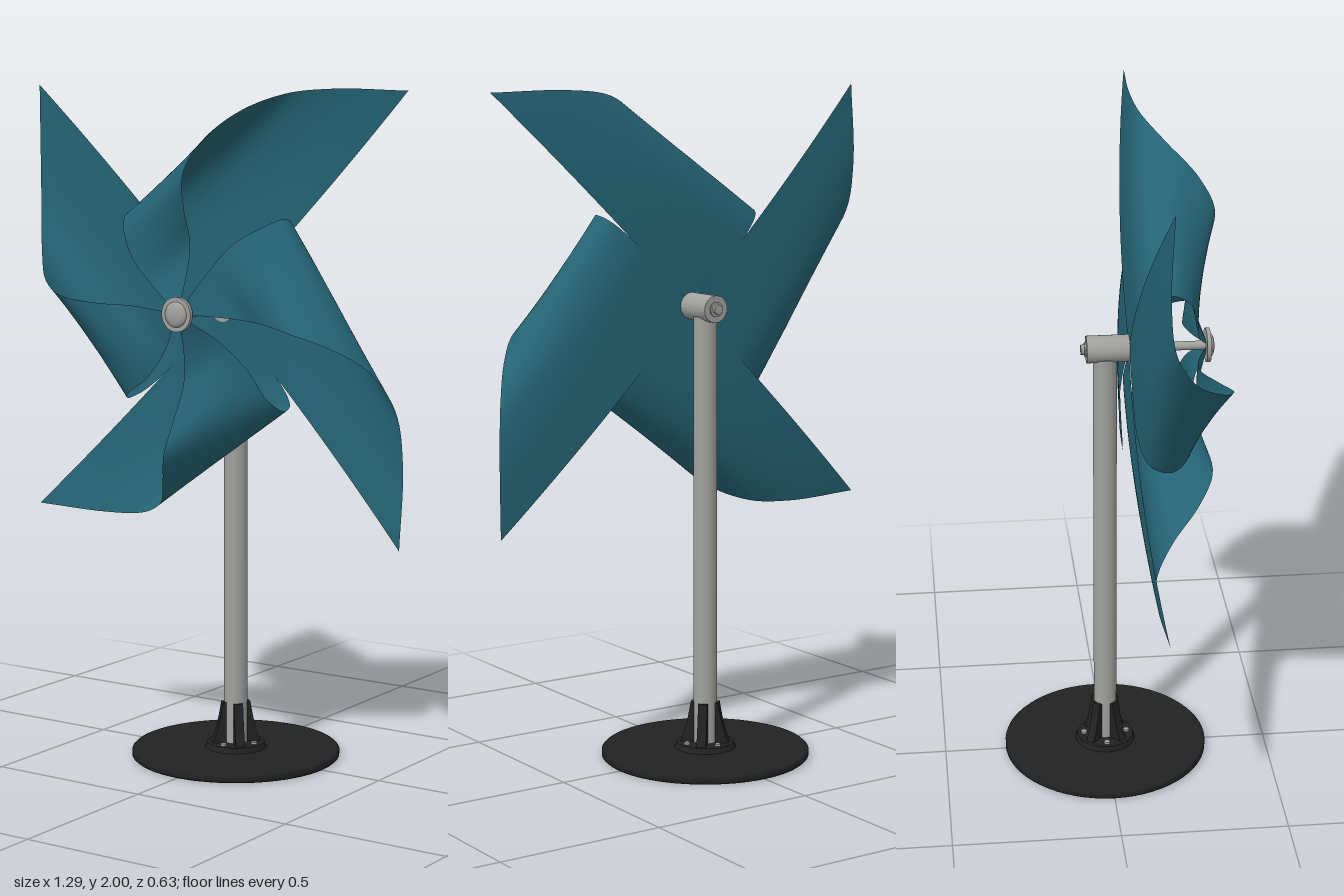
import * as THREE from 'three';

const HUB_Y = 1.355;

export function createModel() {
  const model = new THREE.Group();
  model.name = 'pinwheel';
  const teal = new THREE.MeshStandardMaterial({ color: 0x256475, side: THREE.DoubleSide });
  teal.name = 'teal sheet';
  const metal = new THREE.MeshStandardMaterial({ color: 0xa0a09e });
  metal.name = 'grey metal';
  const black = new THREE.MeshStandardMaterial({ color: 0x222222 });
  black.name = 'black base';

  const add = (parent, name, geometry, material, x = 0, y = 0, z = 0) => {
    const mesh = new THREE.Mesh(geometry, material);
    mesh.name = name;
    mesh.position.set(x, y, z);
    parent.add(mesh);
    return mesh;
  };
  const rod = (r, h, sides = 32) => new THREE.CylinderGeometry(r, r, h, sides);
  const rodZ = (r, h, sides) => rod(r, h, sides).rotateX(Math.PI / 2);

  // Base disc with a softened rim, and the flange on it
  const disc = [[0, 0], [0.306, 0], [0.312, 0.005], [0.312, 0.02], [0.306, 0.026], [0, 0.026]];
  const baseGeo = new THREE.LatheGeometry(disc.map(p => new THREE.Vector2(...p)), 64);
  add(model, 'baseDisc', baseGeo, black);
  add(model, 'flange', new THREE.CylinderGeometry(0.086, 0.092, 0.016, 48), black, 0, 0.034, 0);

  // Four gussets gripping the pole, with a screw between each pair
  const profile = new THREE.Shape();
  profile.moveTo(0.02, 0.04);
  profile.lineTo(0.075, 0.04);
  profile.quadraticCurveTo(0.057, 0.07, 0.042, 0.165);
  profile.lineTo(0.02, 0.165);
  const gussetGeo = new THREE.ExtrudeGeometry(profile, { depth: 0.028, bevelEnabled: false, curveSegments: 8 });
  gussetGeo.translate(0, 0, -0.014);
  for (let i = 0; i < 4; i++) {
    const a = i * Math.PI / 2;
    add(model, 'gusset', gussetGeo, black).rotation.y = a + Math.PI / 4;
    add(model, 'flangeScrew', rod(0.009, 0.008, 16), metal, 0.066 * Math.cos(a), 0.045, 0.066 * Math.sin(a));
  }

  // Pole and the cross tube at its top
  add(model, 'pole', rod(0.035, 1.3), metal, 0, 0.68, 0);
  add(model, 'crossTube', rodZ(0.04, 0.125), metal, 0, HUB_Y, 0.0075);
  add(model, 'rearWasher', rodZ(0.022, 0.006), metal, 0, HUB_Y, -0.057);
  add(model, 'rearNut', rodZ(0.016, 0.014, 6), metal, 0, HUB_Y, -0.064);

  // Rotor: axle, front washer and domed cap
  const rotor = new THREE.Group();
  rotor.name = 'rotor';
  rotor.position.y = HUB_Y;
  model.add(rotor);
  add(rotor, 'axle', rodZ(0.013, 0.24, 20), metal, 0, 0, 0.18);
  add(rotor, 'frontWasher', rodZ(0.05, 0.012), metal, 0, 0, 0.299);
  const cap = new THREE.SphereGeometry(0.037, 32, 10, 0, Math.PI * 2, 0, Math.PI / 2);
  cap.rotateX(Math.PI / 2).scale(1, 1, 0.4);
  add(rotor, 'frontCap', cap, metal, 0, 0, 0.304);

  // Four blades, each a triangle of sheet with one corner curled to the hub
  const bladeGeo = bladeGeometry();
  for (let i = 0; i < 4; i++) add(rotor, 'blade', bladeGeo, teal).rotation.z = i * Math.PI / 2;
  return model;
}

// Sheet ruled between the curled cut edge and the curled outer edge
function bladeGeometry() {
  const curve = pts => new THREE.CatmullRomCurve3(pts.map(p => new THREE.Vector3(...p)));
  const cut = curve([
    [0, 0, 0.07], [-0.1, 0.1, 0.07], [-0.2, 0.2, 0.075], [-0.257, 0.26, 0.105], [-0.273, 0.272, 0.165],
    [-0.25, 0.235, 0.215], [-0.2, 0.15, 0.242], [-0.11, 0.07, 0.26], [0, 0, 0.3]]);
  const outer = curve([
    [0.645, 0.63, 0.12], [0.4, 0.635, 0.112], [0.25, 0.62, 0.13], [0.14, 0.572, 0.19], [0.07, 0.49, 0.275],
    [0.035, 0.4, 0.318], [0.018, 0.3, 0.29], [0.012, 0.2, 0.25], [0.005, 0.1, 0.262], [0, 0, 0.3]]);
  const U = 64, V = 20, positions = [], index = [];
  for (let i = 0; i <= U; i++) {
    const a = cut.getPointAt(i / U), b = outer.getPointAt(i / U);
    for (let j = 0; j <= V; j++) {
      const v = j / V, p = a.clone().lerp(b, v);
      p.z -= 0.08 * v * (1 - v) * (1 - i / U);
      positions.push(p.x, p.y, p.z);
      if (i < U && j < V) {
        const k = i * (V + 1) + j, n = k + V + 1;
        index.push(k, k + 1, n, n, k + 1, n + 1);
      }
    }
  }
  const geometry = new THREE.BufferGeometry();
  geometry.setAttribute('position', new THREE.Float32BufferAttribute(positions, 3));
  geometry.setIndex(index);
  geometry.computeVertexNormals();
  return geometry;
}
